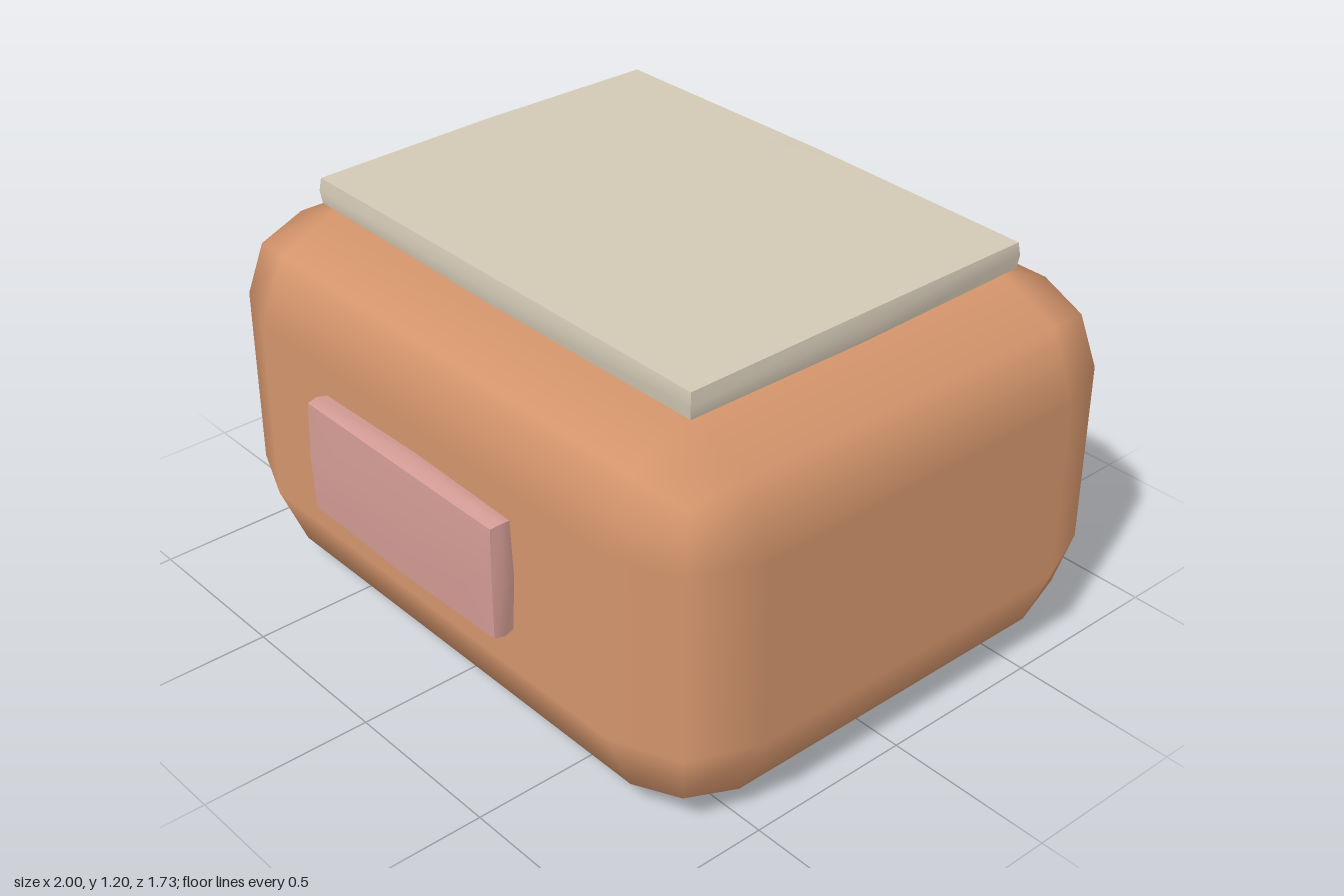
import * as THREE from 'three';
import { RoundedBoxGeometry } from 'three/addons/geometries/RoundedBoxGeometry.js';

// Thin slab whose faces swell slightly towards their middles
function swollenSlab(w, h, d, r) {
  const geo = new THREE.BoxGeometry(w, h, d, 2, 2, 2);
  const half = new THREE.Vector3(w / 2 - r, h / 2 - r, d / 2 - r);
  const pos = geo.attributes.position;
  const side = (v) => (Math.abs(v) < 1e-6 ? 0 : Math.sign(v));
  for (let i = 0; i < pos.count; i++) {
    const s = new THREE.Vector3(side(pos.getX(i)), side(pos.getY(i)), side(pos.getZ(i)));
    const p = s.clone().multiply(half).addScaledVector(s.normalize(), r);
    pos.setXYZ(i, p.x, p.y, p.z);
  }
  geo.computeVertexNormals();
  return geo;
}

export function createModel() {
  const model = new THREE.Group();
  model.name = 'roundedBox';

  const material = (name, color) => {
    const m = new THREE.MeshStandardMaterial({ color });
    m.name = name;
    return m;
  };
  const add = (name, geometry, mat, x, y, z) => {
    const mesh = new THREE.Mesh(geometry, mat);
    mesh.name = name;
    mesh.position.set(x, y, z);
    model.add(mesh);
  };

  // Rounded body
  add('body', new RoundedBoxGeometry(2, 1.095, 1.635, 1, 0.275),
    material('terracotta', 0xd4956c), 0, 0.5475, -0.0475);

  // Lid resting on top
  add('lid', swollenSlab(1.54, 0.105, 1.175, 0.035),
    material('cream', 0xd2c8b5), 0, 1.1475, -0.0475);

  // Plate on the front
  add('frontPlate', swollenSlab(0.815, 0.36, 0.09, 0.035),
    material('dustyPink', 0xd49c95), 0, 0.595, 0.82);

  return model;
}
